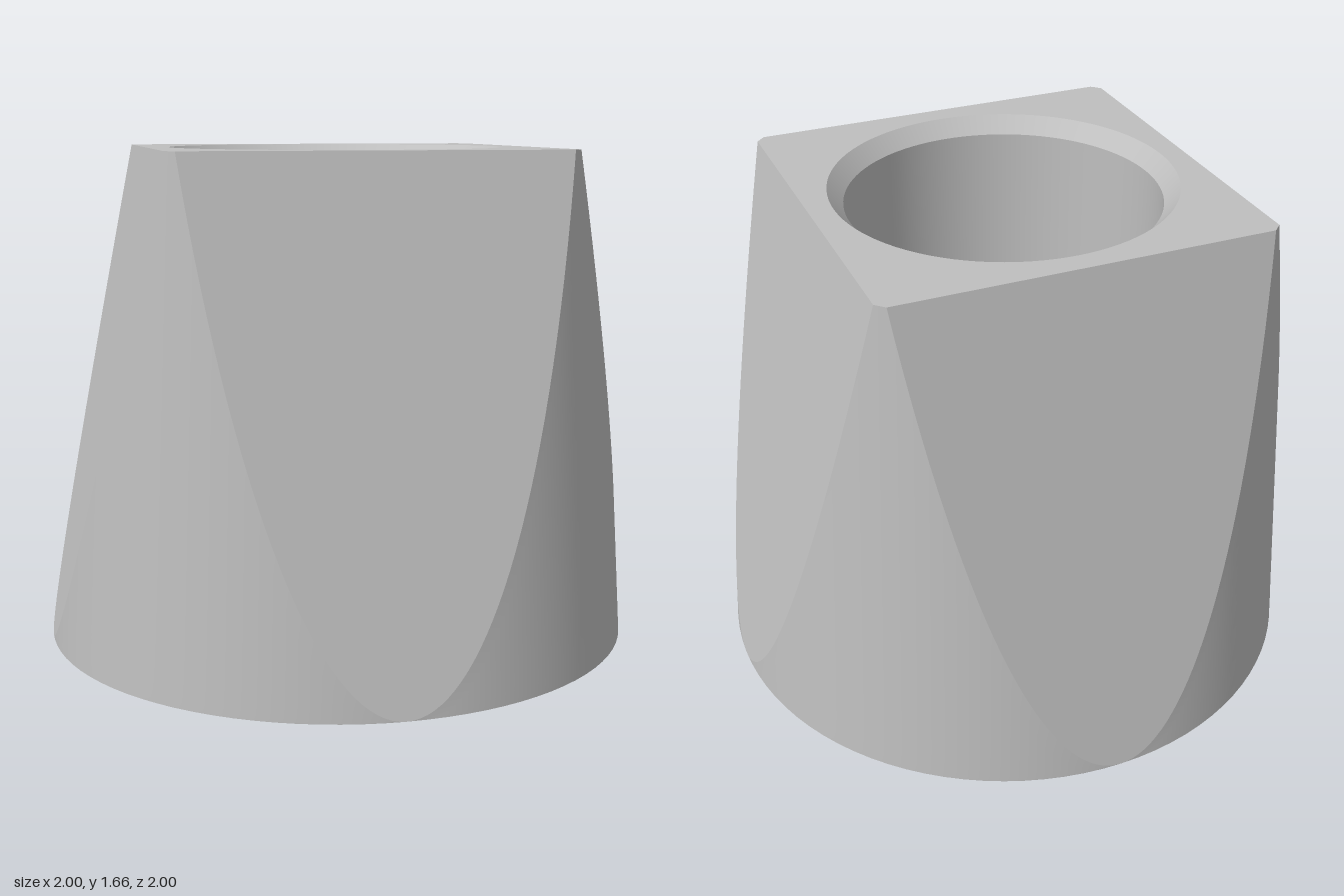
import * as THREE from 'three';

const HEIGHT = 1.66;
const BORE = 0.515, RIM = 0.565, CHAMFER = 0.055;

// Cone radius, distance to the flats, and half angle covered by each flat at height y
const coneRadius = (y) => 1 - 0.108 * y / HEIGHT;
const flatDistance = (y) => 1 - 0.355 * y / HEIGHT;
const flatAngle = (y) => Math.acos(Math.min(1, flatDistance(y) / coneRadius(y)));

// Surface patch from a rule point(u, y); rows are denser near the base
function patch(point, cols, rows) {
  const positions = [], index = [];
  for (let j = 0; j <= rows; j++) {
    const y = HEIGHT * (j / rows) ** 2;
    for (let i = 0; i <= cols; i++) positions.push(...point(i / cols, y));
  }
  for (let j = 0; j < rows; j++) {
    for (let i = 0; i < cols; i++) {
      const a = j * (cols + 1) + i, b = a + 1, c = a + cols + 1, d = c + 1;
      index.push(a, b, d, a, d, c);
    }
  }
  const geometry = new THREE.BufferGeometry();
  geometry.setAttribute('position', new THREE.Float32BufferAttribute(positions, 3));
  geometry.setIndex(index);
  geometry.computeVertexNormals();
  return geometry;
}

export function createModel() {
  const group = new THREE.Group();
  group.name = 'taperedSocket';
  const grey = new THREE.MeshStandardMaterial({ color: 0xbfbfbf });
  grey.name = 'grey';

  const add = (name, geometry, turn = 0) => {
    const mesh = new THREE.Mesh(geometry, grey);
    mesh.name = name;
    mesh.rotation.y = turn;
    group.add(mesh);
    return mesh;
  };

  // Four sloping flats and the four rounded corners between them
  const flat = patch((u, y) => {
    const half = coneRadius(y) * Math.sin(flatAngle(y));
    return [(2 * u - 1) * half, y, flatDistance(y)];
  }, 4, 32);
  const corner = patch((u, y) => {
    const a = flatAngle(y), r = coneRadius(y);
    const angle = a + u * (Math.PI / 2 - 2 * a);
    return [r * Math.sin(angle), y, r * Math.cos(angle)];
  }, 24, 32);
  for (let k = 0; k < 4; k++) {
    add('flat' + (k + 1), flat, k * Math.PI / 2);
    add('roundedCorner' + (k + 1), corner, k * Math.PI / 2);
  }

  // Square top with tiny rounded corners and a round opening
  const outline = new THREE.Shape();
  const a = flatAngle(HEIGHT);
  for (let k = 0; k < 4; k++) {
    outline.absarc(0, 0, coneRadius(HEIGHT), k * Math.PI / 2 + a, (k + 1) * Math.PI / 2 - a, false);
  }
  outline.closePath();
  outline.holes.push(new THREE.Path().absarc(0, 0, RIM, 0, Math.PI * 2, true));
  add('topFace', new THREE.ShapeGeometry(outline, 48).rotateX(-Math.PI / 2)).position.y = HEIGHT;

  // Round underside
  add('bottomFace', new THREE.RingGeometry(RIM, 1, 96).rotateX(Math.PI / 2));

  // Bore with a chamfer at each end, facing inward
  const profile = [[RIM, HEIGHT], [BORE, HEIGHT - CHAMFER], [BORE, CHAMFER], [RIM, 0]];
  ['topChamfer', 'bore', 'bottomChamfer'].forEach((name, i) => {
    const points = [profile[i], profile[i + 1]].map(([r, y]) => new THREE.Vector2(r, y));
    add(name, new THREE.LatheGeometry(points, 96));
  });

  return group;
}
